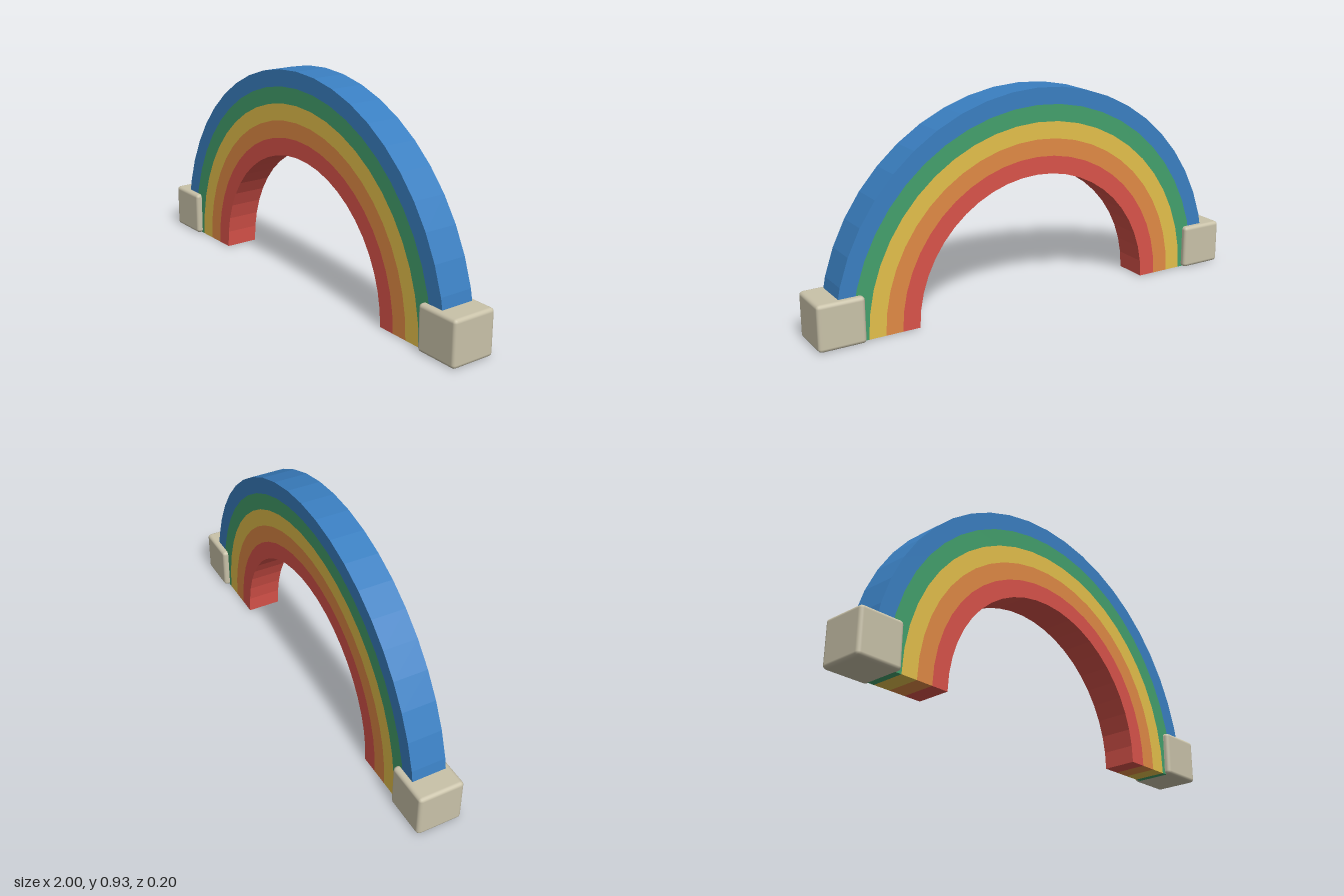
import * as THREE from 'three';
import { RoundedBoxGeometry } from 'three/addons/geometries/RoundedBoxGeometry.js';

const DEPTH = 0.15;
const BANDS = [
  ['redBand', 0xd9534a],
  ['orangeBand', 0xe08a45],
  ['yellowBand', 0xe3bf4b],
  ['greenBand', 0x43a06c],
  ['blueBand', 0x3a7fc1],
];
const RADII = [0.56, 0.636, 0.71, 0.783, 0.855, 0.927];

// Half ring with faceted curved faces, centred on z
function halfRing(inner, outer) {
  const shape = new THREE.Shape();
  shape.absarc(0, 0, outer, 0, Math.PI, false);
  shape.absarc(0, 0, inner, Math.PI, 0, true);
  shape.closePath();
  const geometry = new THREE.ExtrudeGeometry(shape, {
    depth: DEPTH, bevelEnabled: false, curveSegments: 12,
  });
  return geometry.translate(0, 0, -DEPTH / 2);
}

export function createModel() {
  const model = new THREE.Group();
  model.name = 'rainbowArch';

  // Concentric coloured bands, lifted a hair so the feet rest on the ground
  const arch = new THREE.Group();
  arch.name = 'arch';
  arch.position.y = 0.001;
  BANDS.forEach(([name, color], i) => {
    const material = new THREE.MeshStandardMaterial({ color, flatShading: true });
    const band = new THREE.Mesh(halfRing(RADII[i], RADII[i + 1]), material);
    band.name = name;
    arch.add(band);
  });
  model.add(arch);

  // Rounded stone blocks around the outer feet
  const stone = new THREE.MeshStandardMaterial({ color: 0xc9c2a9 });
  const block = new RoundedBoxGeometry(0.2, 0.195, 0.2, 2, 0.016);
  for (const side of [1, -1]) {
    const foot = new THREE.Mesh(block, stone);
    foot.name = side > 0 ? 'leftFootBlock' : 'rightFootBlock';
    foot.position.set(side * 0.9, 0.0975, 0);
    model.add(foot);
  }
  return model;
}
